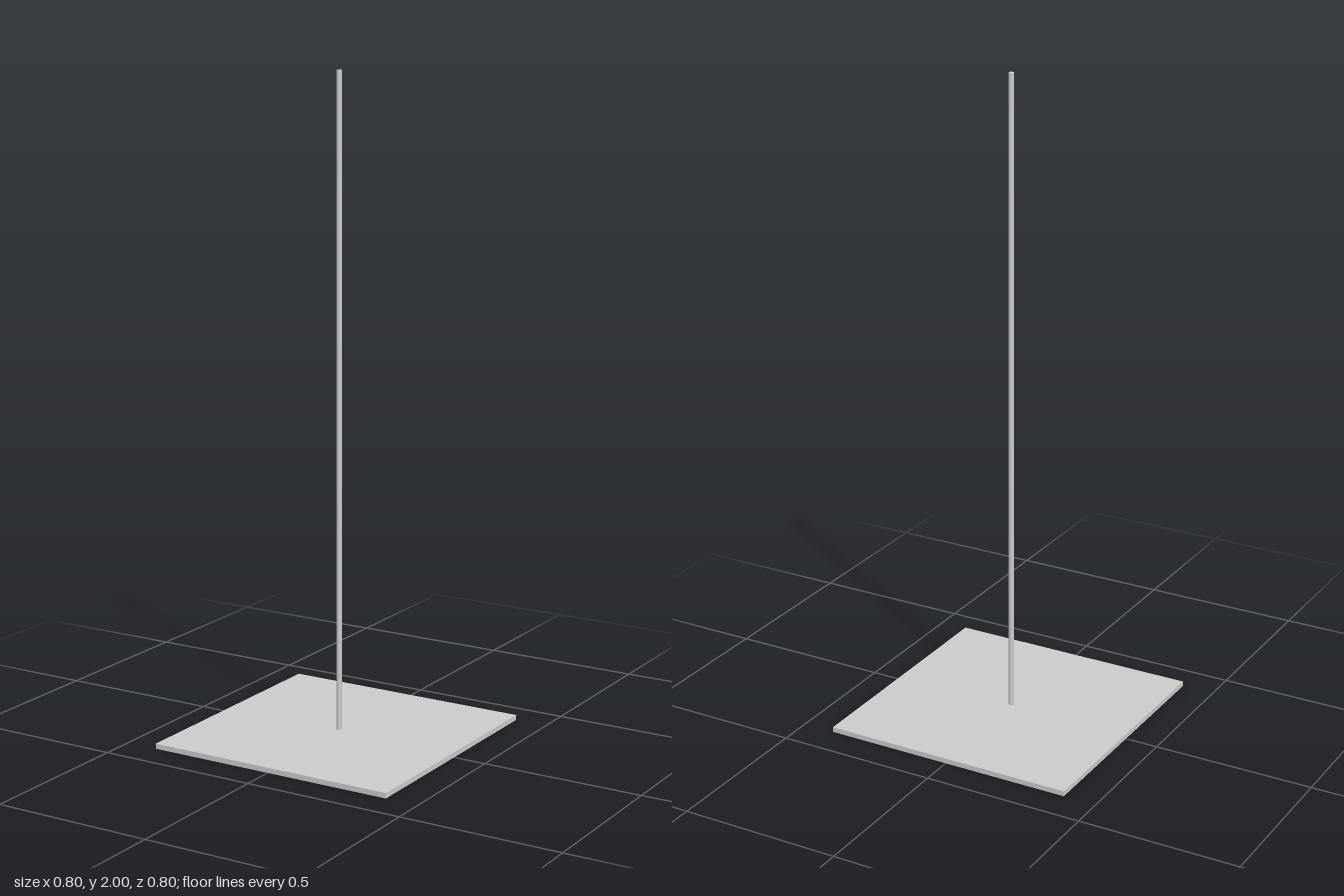
import * as THREE from 'three';

const BASE_SIZE = 0.795;
const BASE_HEIGHT = 0.016;
const POLE_RADIUS = 0.008;
const TOTAL_HEIGHT = 2;

export function createModel() {
  const model = new THREE.Group();
  model.name = 'poleStand';
  const material = new THREE.MeshStandardMaterial({ color: 0xcccccc });

  // Thin square plate on the floor
  const base = new THREE.Mesh(new THREE.BoxGeometry(BASE_SIZE, BASE_HEIGHT, BASE_SIZE), material);
  base.name = 'base';
  base.position.y = BASE_HEIGHT / 2;

  // Slim round pole standing on the plate's centre
  const poleHeight = TOTAL_HEIGHT - BASE_HEIGHT;
  const pole = new THREE.Mesh(new THREE.CylinderGeometry(POLE_RADIUS, POLE_RADIUS, poleHeight, 32), material);
  pole.name = 'pole';
  pole.position.y = BASE_HEIGHT + poleHeight / 2;

  model.add(base, pole);
  return model;
}
